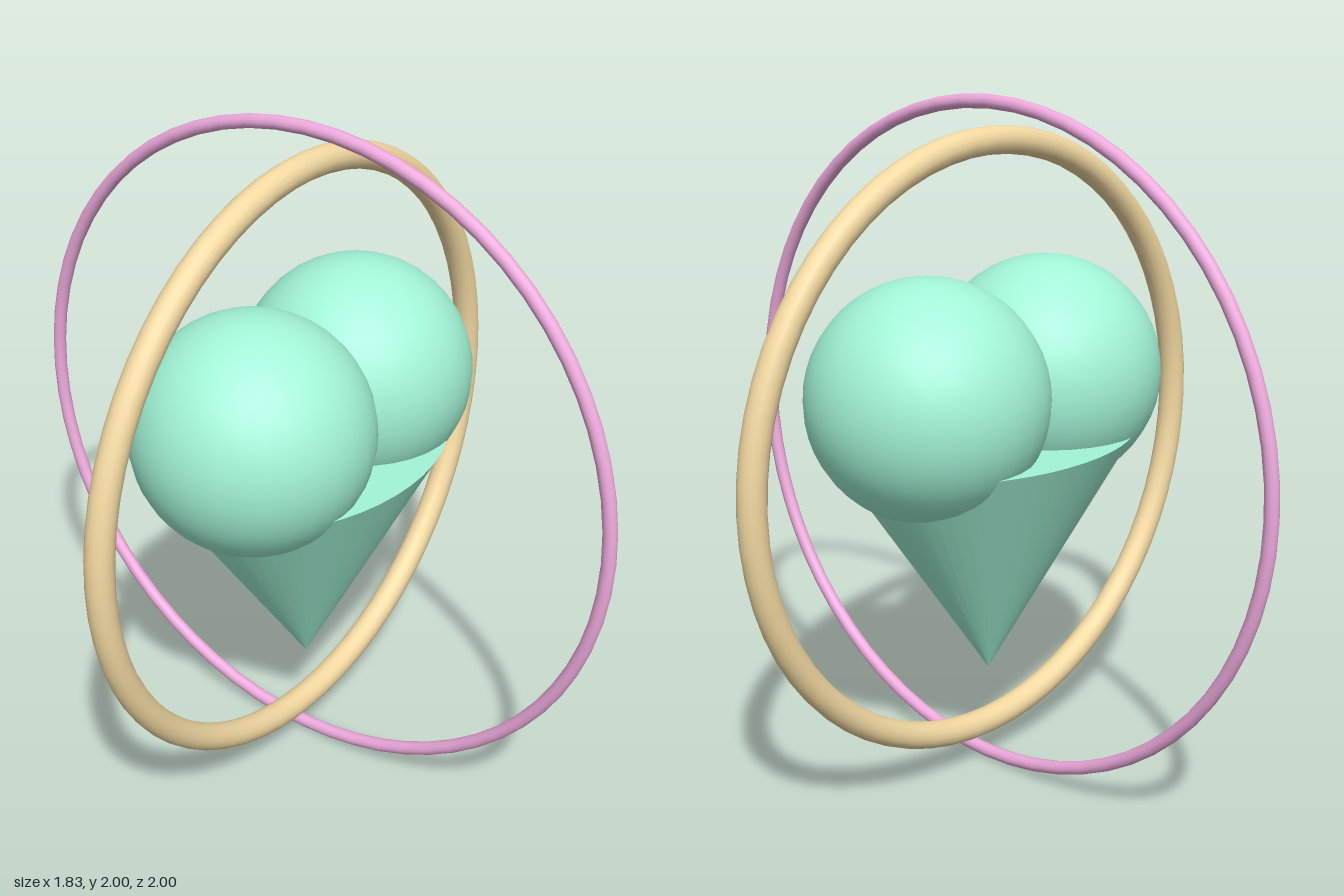
import * as THREE from 'three';

export function createModel() {
  const group = new THREE.Group();
  const green = new THREE.MeshStandardMaterial({ color: 0xa3f5d8 });
  const gold = new THREE.MeshStandardMaterial({ color: 0xf3d9a2 });
  const pink = new THREE.MeshStandardMaterial({ color: 0xeeaadd });

  const add = (name, geometry, material, x, y) => {
    const mesh = new THREE.Mesh(geometry, material);
    mesh.name = name;
    mesh.position.set(x, y, 0);
    group.add(mesh);
    return mesh;
  };

  // Heart: two round lobes above a widened, downward-pointing cone
  const lobe = new THREE.SphereGeometry(0.345, 32, 24);
  add('leftLobe', lobe, green, 0.245, 1.18);
  add('rightLobe', lobe, green, -0.245, 1.18);

  const point = new THREE.ConeGeometry(0.363, 0.72, 48);
  point.rotateX(Math.PI);
  point.scale(1.4, 1, 1);
  add('heartPoint', point, green, 0, 0.66);

  // Two crossed rings around the heart
  add('innerRing', new THREE.TorusGeometry(0.874, 0.04, 16, 64), gold, 0, 1);
  const outer = add('outerRing', new THREE.TorusGeometry(0.98, 0.02, 12, 64), pink, 0, 1);
  outer.rotation.y = Math.PI / 2;

  return group;
}
